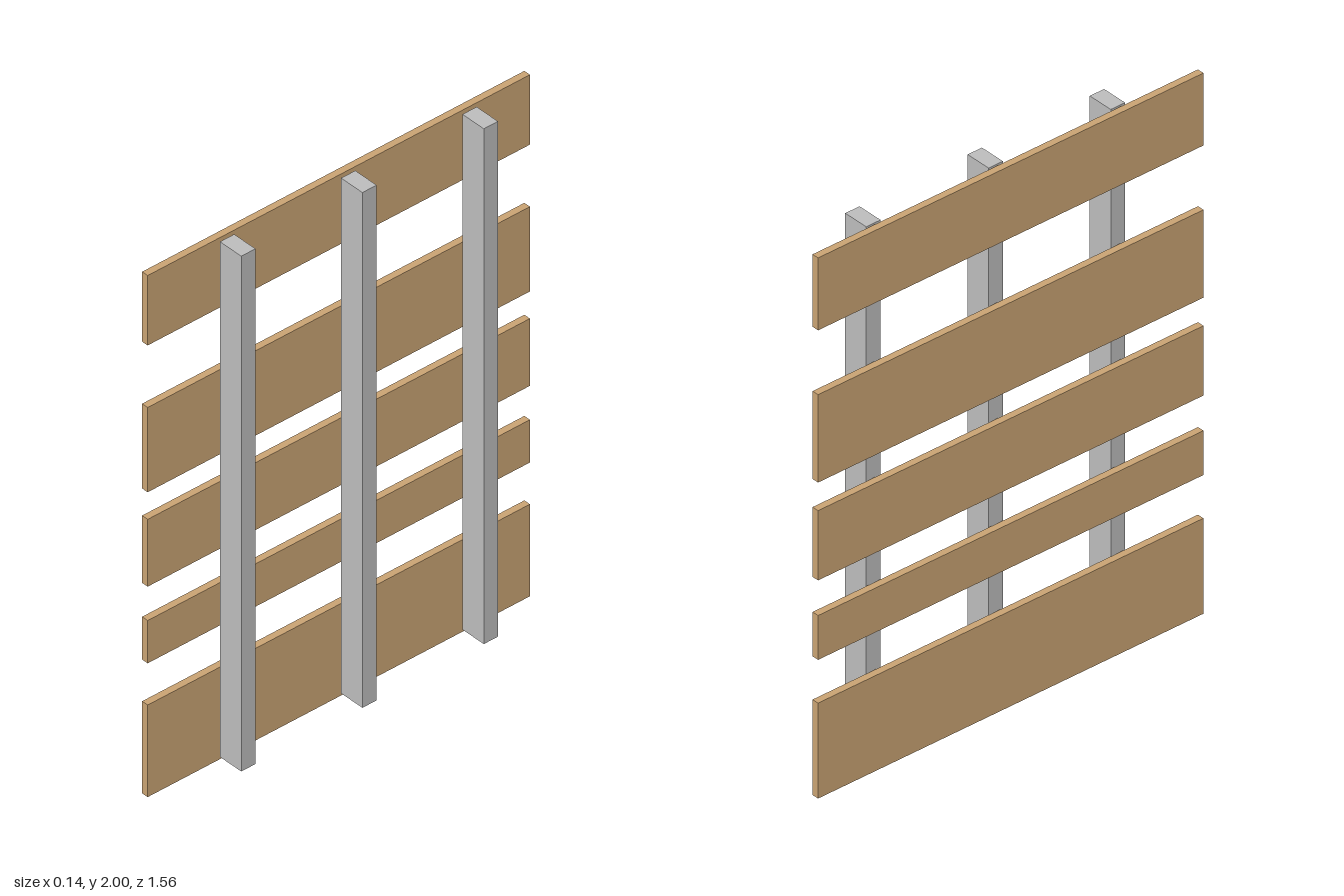
import * as THREE from 'three';

// Box given by its minimum and maximum corners
function block(name, material, [x0, y0, z0], [x1, y1, z1]) {
  const mesh = new THREE.Mesh(new THREE.BoxGeometry(x1 - x0, y1 - y0, z1 - z0), material);
  mesh.position.set((x0 + x1) / 2, (y0 + y1) / 2, (z0 + z1) / 2);
  mesh.name = name;
  return mesh;
}

export function createModel() {
  const wood = new THREE.MeshStandardMaterial({ name: 'tan wood', color: 0xc8a272 });
  const metal = new THREE.MeshStandardMaterial({ name: 'grey metal', color: 0xbbbbbb });
  const model = new THREE.Group();
  model.name = 'slattedFence';

  // Horizontal planks of varied height: bottom and top edge of each
  const planks = new THREE.Group();
  planks.name = 'planks';
  const edges = [[0, 0.353], [0.513, 0.677], [0.807, 1.065], [1.169, 1.494], [1.732, 2]];
  edges.forEach(([y0, y1], i) =>
    planks.add(block(`plank${i + 1}`, wood, [-0.069, y0, -0.781], [-0.043, y1, 0.781])));

  // Upright posts, standing slightly clear of the planks
  const posts = new THREE.Group();
  posts.name = 'posts';
  [0.467, -0.028, -0.524].forEach((z, i) =>
    posts.add(block(`post${i + 1}`, metal, [-0.031, 0.02, z - 0.029], [0.068, 1.996, z + 0.029])));

  model.add(planks, posts);
  return model;
}
